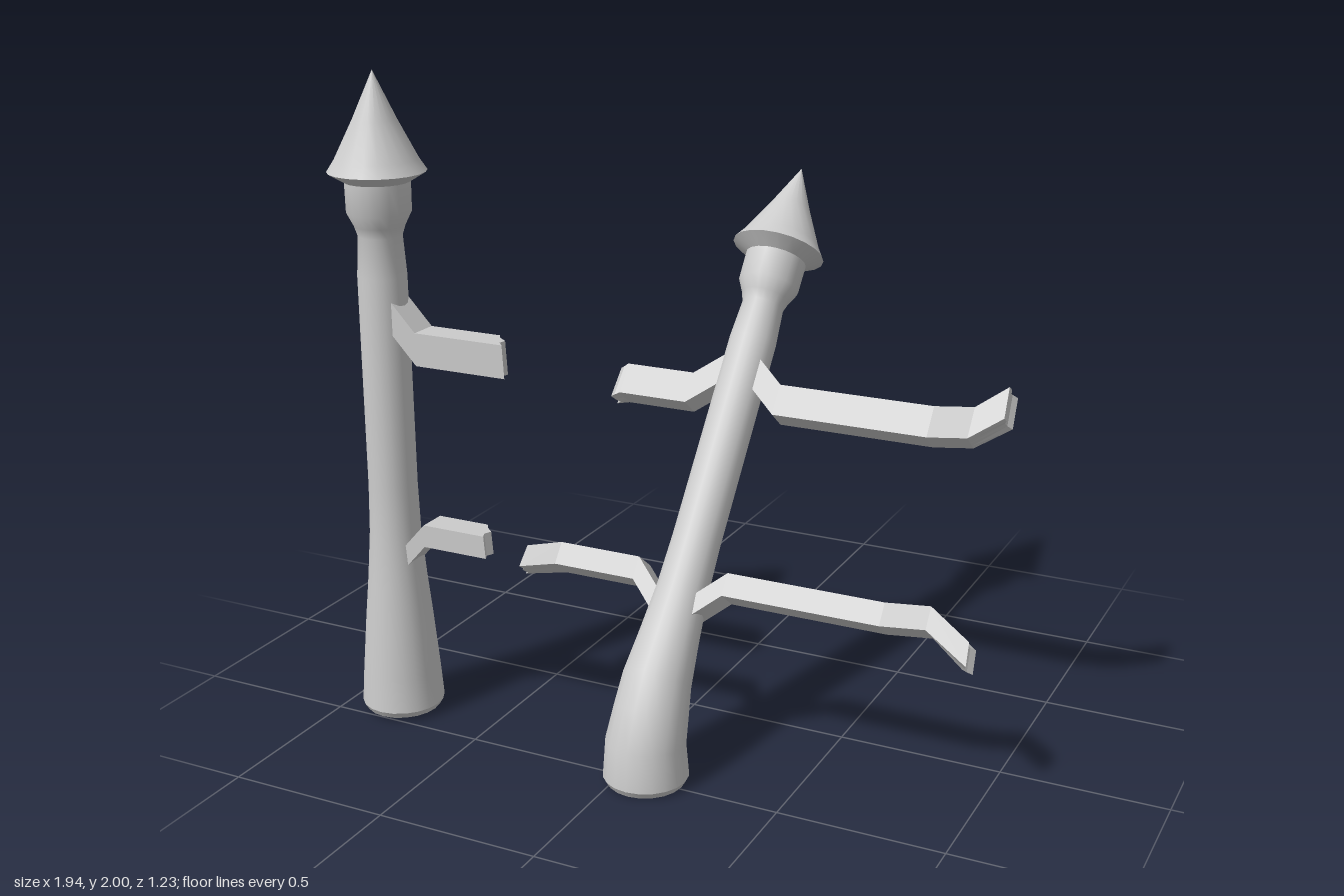
import * as THREE from 'three';
import { toCreasedNormals } from 'three/addons/utils/BufferGeometryUtils.js';

const material = new THREE.MeshStandardMaterial({ color: 0xcccccc });
const LEAN = THREE.MathUtils.degToRad(37.8);

// Turned post outline: flared foot, shaft, collar, pointed cap
const PROFILE = [
  [0, 0.015], [0.115, 0.015], [0.127, 0.035], [0.119, 0.14], [0.111, 0.23], [0.103, 0.32],
  [0.09, 0.45], [0.078, 0.6], [0.074, 0.75], [0.073, 1.4], [0.065, 1.52], [0.075, 1.55],
  [0.095, 1.59], [0.096, 1.68], [0.145, 1.71], [0.122, 1.745], [0.064, 1.86], [0, 2],
];

// Leaning spine: upright foot, short bend, then a straight tilted shaft
function bendSpine(geometry) {
  const p = geometry.attributes.position;
  for (let i = 0; i < p.count; i++) {
    const x = p.getX(i), s = p.getY(i) - 0.012, r = p.getZ(i);
    let y = s, z = 0.49;
    if (s > 0.307) {
      y = 0.29 + (s - 0.307) * Math.cos(LEAN);
      z = 0.415 - (s - 0.307) * Math.sin(LEAN);
    } else if (s > 0.13) {
      const t = (s - 0.13) / 0.177;
      y = 0.13 + 0.16 * t;
      z = 0.49 - 0.075 * t;
    }
    const tilt = LEAN * THREE.MathUtils.smoothstep(s, 0.06, 0.33);
    p.setXYZ(i, x, y + r * Math.sin(tilt), z + r * Math.cos(tilt));
  }
}

function makePost(name, leaning) {
  const geometry = new THREE.LatheGeometry(PROFILE.map(([r, y]) => new THREE.Vector2(r, y)), 20);
  if (leaning) bendSpine(geometry);
  const mesh = new THREE.Mesh(toCreasedNormals(geometry, 0.55), material);
  mesh.name = name;
  return mesh;
}

// Rail: rectangular section swept through knots [x, y, z]; the last section is splintered by jag
function makeRail(name, knots, height, depth, jag) {
  const n = jag.length, ring = 2 * n, dir = Math.sign(knots[knots.length - 1][0] - knots[0][0]);
  const pos = [], index = [];
  knots.forEach(([x, y, z], k) => {
    const last = k === knots.length - 1;
    for (let j = 0; j < ring; j++) {
      const top = j < n, c = top ? j : ring - 1 - j;
      const dx = last ? dir * jag[c] + (top ? 0 : dir * 0.006) : 0;
      pos.push(x + dx, y + (top ? 0.5 : -0.5) * height, z + (c / (n - 1) - 0.5) * depth);
    }
  });
  const quad = (a, b, c, d) => (dir > 0 ? index.push(a, b, c, a, c, d) : index.push(a, c, b, a, d, c));
  for (let k = 0; k < knots.length - 1; k++) {
    for (let j = 0; j < ring; j++) {
      const a = k * ring + j, b = k * ring + (j + 1) % ring;
      quad(a, b, b + ring, a + ring);
    }
  }
  // End caps
  const e = (knots.length - 1) * ring;
  for (let j = 0; j < n - 1; j++) {
    quad(e + j, e + j + 1, e + ring - 2 - j, e + ring - 1 - j);
    quad(j + 1, j, ring - 1 - j, ring - 2 - j);
  }
  const indexed = new THREE.BufferGeometry();
  indexed.setAttribute('position', new THREE.Float32BufferAttribute(pos, 3));
  indexed.setIndex(index);
  const geometry = indexed.toNonIndexed();
  geometry.computeVertexNormals();
  const mesh = new THREE.Mesh(geometry, material);
  mesh.name = name;
  return mesh;
}

export function createModel() {
  const model = new THREE.Group();
  model.name = 'brokenFence';

  // Upright post with two snapped rail stubs
  const upright = new THREE.Group();
  upright.name = 'uprightPost';
  upright.position.set(-0.825, 0, 0.4);
  upright.add(
    makePost('post', false),
    makeRail('upperRailStub', [[0.05, 1.29, 0], [0.135, 1.2, 0], [0.42, 1.2, 0]], 0.1, 0.09, [-0.05, -0.035, -0.005, -0.01, 0.01]),
    makeRail('lowerRailStub', [[0.05, 0.52, 0], [0.135, 0.615, 0], [0.345, 0.615, 0]], 0.07, 0.09, [-0.04, -0.025, 0, -0.01, 0]),
  );

  // Leaning post, bent near its foot
  const leaning = new THREE.Group();
  leaning.name = 'leaningPost';
  leaning.position.x = 0.08;
  leaning.add(makePost('post', true));

  // Its rails share the tilt of the shaft
  const rails = new THREE.Group();
  rails.name = 'leaningRails';
  rails.position.set(0, 0.29, 0.415);
  rails.rotation.x = -LEAN;
  const up = 0.89, low = 0.305;
  rails.add(
    makeRail('upperLeftRail', [[0.05, up + 0.08, 0], [0.145, up, 0], [0.63, up, 0], [0.74, up + 0.025, -0.03], [0.835, up + 0.1, -0.03]],
      0.098, 0.083, [0, -0.012, -0.015, -0.005, -0.008]),
    makeRail('upperRightRail', [[-0.05, up + 0.08, 0], [-0.145, up, 0], [-0.37, up, 0], [-0.395, up - 0.01, 0]],
      0.098, 0.083, [0.01, -0.01, 0, 0.005, -0.015]),
    makeRail('lowerLeftRail', [[0.05, low - 0.09, 0], [0.145, low, 0], [0.63, low, 0], [0.755, low + 0.02, -0.028], [0.88, low - 0.057, -0.043]],
      0.07, 0.09, [0, -0.012, -0.02, -0.008, 0]),
    makeRail('lowerRightRail', [[-0.05, low - 0.09, 0], [-0.145, low, 0], [-0.41, low, 0], [-0.575, low - 0.012, -0.08]],
      0.07, 0.09, [0.01, -0.01, 0, -0.015, -0.01]),
  );
  leaning.add(rails);

  model.add(upright, leaning);
  return model;
}
